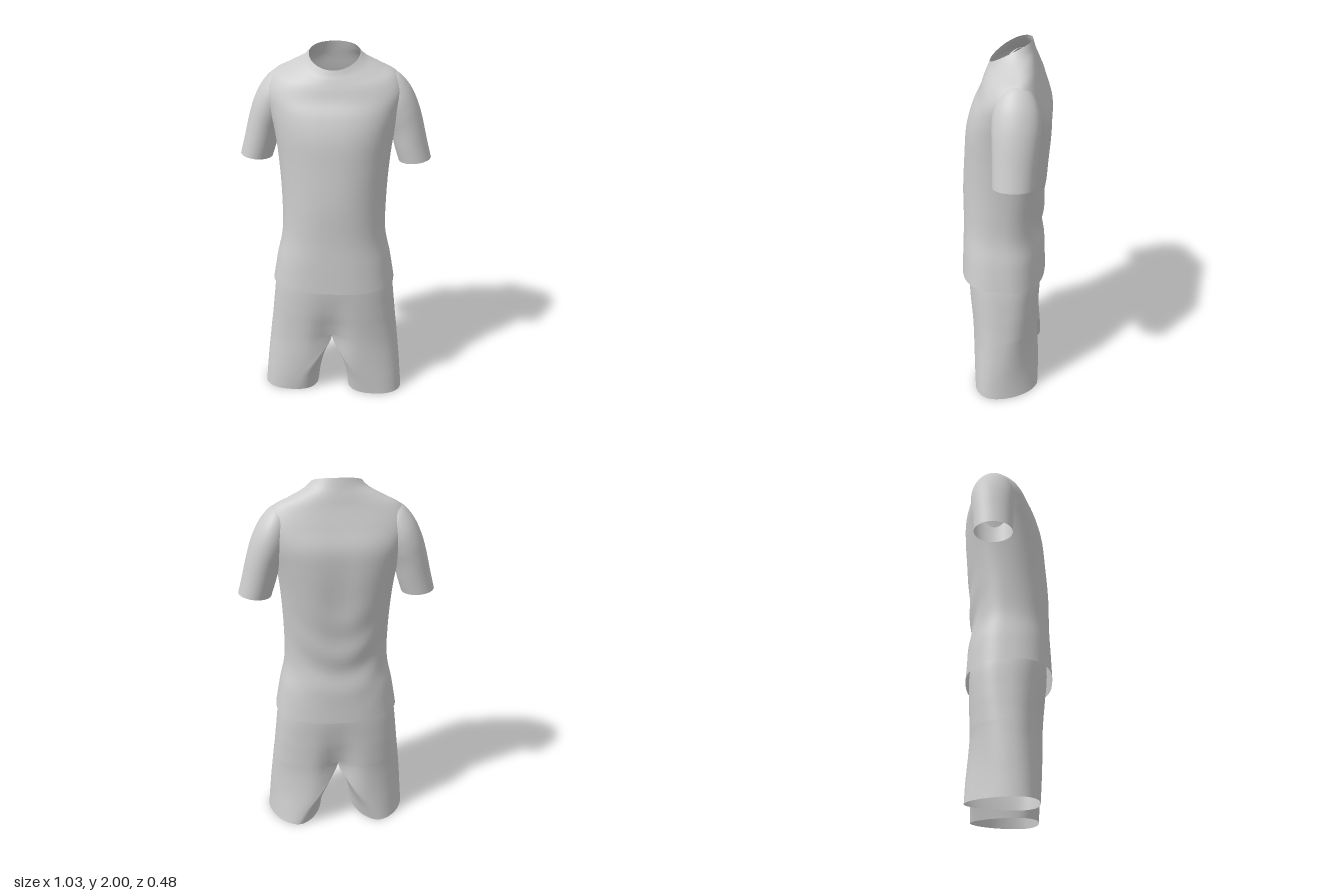
import * as THREE from 'three';
import { mergeGeometries, mergeVertices } from 'three/addons/utils/BufferGeometryUtils.js';

const SIDES = 64;
const STEPS = 7;
const spow = (v, e) => Math.sign(v) * Math.pow(Math.abs(v), e);
const bell = (v, width) => Math.exp(-((v / width) ** 2));

// Smoothly interpolate a short list of cross-sections, bottom to top
function refine(keys) {
  const out = [];
  const last = keys.length - 1;
  for (let k = 0; k < last; k++) {
    const [a, b, c, d] = [keys[Math.max(k - 1, 0)], keys[k], keys[k + 1], keys[Math.min(k + 2, last)]];
    for (let j = 0; j < STEPS; j++) {
      const t = j / STEPS;
      out.push(b.map((_, i) => b[i] + 0.5 * t * (c[i] - a[i]
        + t * (2 * a[i] - 5 * b[i] + 4 * c[i] - d[i]
        + t * (3 * (b[i] - c[i]) + d[i] - a[i])))));
    }
  }
  out.push(keys[last]);
  return out;
}

// Open tube through the cross-sections; side = -1 mirrors it in x
function loft(keys, point, side = 1) {
  const rows = refine(keys);
  const pos = [];
  const index = [];
  rows.forEach((row, r) => {
    for (let i = 0; i < SIDES; i++) {
      const t = (side * i * Math.PI * 2) / SIDES;
      const [x, y, z] = point(row, Math.cos(t), Math.sin(t));
      pos.push(x * side, y, z);
      if (r === rows.length - 1) continue;
      const a = r * SIDES + i;
      const b = r * SIDES + ((i + 1) % SIDES);
      index.push(a, a + SIDES, b, b, a + SIDES, b + SIDES);
    }
  });
  const geo = new THREE.BufferGeometry();
  geo.setAttribute('position', new THREE.Float32BufferAttribute(pos, 3));
  geo.setIndex(index);
  geo.computeVertexNormals();
  return geo;
}

// Shirt body: yFront, yBack, ySide, halfWidth, zFront, zBack, zSide, front and back squareness
const BODY = [
  [0.70, 0.68, 0.705, 0.34, 0.245, -0.222, 0, 2.7, 2.4],
  [0.85, 0.85, 0.85, 0.315, 0.24, -0.212, 0, 2.6, 2.35],
  [1.0, 1.0, 1.0, 0.285, 0.235, -0.2, 0, 2.4, 2.15],
  [1.2, 1.2, 1.2, 0.285, 0.235, -0.22, -0.01, 2.2, 2.15],
  [1.4, 1.4, 1.4, 0.298, 0.222, -0.237, -0.02, 2.25, 2.4],
  [1.55, 1.55, 1.55, 0.318, 0.208, -0.243, -0.04, 2.4, 2.6],
  [1.66, 1.66, 1.67, 0.345, 0.178, -0.237, -0.06, 2.5, 2.7],
  [1.74, 1.76, 1.775, 0.362, 0.14, -0.203, -0.07, 2.5, 2.7],
  [1.80, 1.85, 1.853, 0.325, 0.12, -0.172, -0.07, 2.3, 2.4],
  [1.84, 1.91, 1.896, 0.245, 0.105, -0.156, -0.06, 2.1, 2.1],
  [1.865, 1.955, 1.93, 0.17, 0.094, -0.143, -0.035, 2, 2],
  [1.89, 2.0, 1.96, 0.132, 0.085, -0.13, -0.025, 2, 2],
];
function bodyPoint([yF, yB, yS, hx, zF, zB, zS, pF, pB], c, s) {
  const p = s > 0 ? pF : pB;
  const x = hx * spow(c, 2 / p);
  const y = yS + ((yF - yB) / 2) * s + ((yF + yB) / 2 - yS) * s * s;
  let z = zS + (s > 0 ? zF - zS : zS - zB) * spow(s, 2 / p);
  if (s < 0) {
    // spine hollow and sagging cloth folds on the back
    z += 0.016 * bell(x, 0.09) * bell(y - 1.4, 0.25);
    z += 0.006 * s * s * bell(y - 1.08, 0.2) * Math.sin(28 * (y - 3 * x * x));
  }
  return [x, y, z];
}

// Sleeve: outer x, y, inner x, y, zFront, zBack
const SLEEVE = [
  [0.517, 1.405, 0.345, 1.385, 0.04, -0.168],
  [0.492, 1.5, 0.322, 1.455, 0.042, -0.175],
  [0.462, 1.62, 0.3, 1.53, 0.044, -0.185],
  [0.432, 1.71, 0.275, 1.59, 0.048, -0.192],
  [0.39, 1.79, 0.255, 1.64, 0.046, -0.188],
  [0.335, 1.85, 0.24, 1.69, 0.03, -0.168],
  [0.285, 1.868, 0.22, 1.74, 0, -0.14],
];
const sleevePoint = ([ox, oy, ix, iy, zF, zB], c, s) => [
  (ox + ix) / 2 + ((ox - ix) / 2) * c,
  (oy + iy) / 2 + ((oy - iy) / 2) * c,
  (zF + zB) / 2 + ((zF - zB) / 2) * s,
];

// Shorts: y, outer x, middle x, inner x, zFront, zBack, zSide, back squareness, centre crease
const LEG = [
  [0, 0.405, 0.235, 0.09, 0.165, -0.2, 0.04, 1.75, 0],
  [0.1, 0.396, 0.18, 0.077, 0.172, -0.2, 0.035, 1.85, 0.06],
  [0.2, 0.387, 0.105, 0.053, 0.18, -0.2, 0.025, 2, 0.18],
  [0.3, 0.376, 0.03, 0.02, 0.189, -0.2, 0.015, 2.2, 0.28],
  [0.35, 0.3705, 0.005, 0.004, 0.193, -0.2, 0.012, 2.32, 0.3],
  [0.38, 0.367, 0, 0, 0.195, -0.2, 0.01, 2.4, 0.28],
];
const HIPS = [
  [0.38, 0.367, 0, -0.367, 0.195, -0.2, 0.01, 2.4, 0.28],
  [0.45, 0.358, 0, -0.358, 0.2, -0.2, 0.006, 2.5, 0.2],
  [0.55, 0.347, 0, -0.347, 0.208, -0.2, 0.003, 2.65, 0.09],
  [0.7, 0.328, 0, -0.328, 0.215, -0.2, 0, 2.7, 0],
  [0.85, 0.288, 0, -0.288, 0.212, -0.183, 0, 2.4, 0],
  [1.0, 0.255, 0, -0.255, 0.2, -0.168, 0, 2.2, 0],
];
function shortsPoint([y, ox, mx, ix, zF, zB, zS, pB, crease], c, s) {
  const e = 2 / (s > 0 ? 2.4 : pB);
  const x = mx + (c > 0 ? ox - mx : mx - ix) * spow(c, e);
  const rz = (s > 0 ? zF - zS : zS - zB) * (1 - crease * bell(x, 0.085));
  return [x, y, zS + rz * spow(s, e)];
}

export function createModel() {
  const cloth = new THREE.MeshStandardMaterial({ color: 0xcccccc, side: THREE.DoubleSide });
  cloth.name = 'grey cloth';
  const model = new THREE.Group();
  model.name = 'sportsOutfit';
  const add = (name, geo, parent) => {
    const mesh = new THREE.Mesh(geo, cloth);
    mesh.name = name;
    parent.add(mesh);
  };

  const shirt = new THREE.Group();
  shirt.name = 'shirt';
  add('shirtBody', loft(BODY, bodyPoint), shirt);
  add('leftSleeve', loft(SLEEVE, sleevePoint, 1), shirt);
  add('rightSleeve', loft(SLEEVE, sleevePoint, -1), shirt);
  model.add(shirt);

  // Hips and both legs welded into one smooth garment
  const pieces = [loft(HIPS, shortsPoint), loft(LEG, shortsPoint, 1), loft(LEG, shortsPoint, -1)];
  pieces.forEach((g) => g.deleteAttribute('normal'));
  const shorts = mergeVertices(mergeGeometries(pieces), 1e-4);
  shorts.computeVertexNormals();
  add('shorts', shorts, model);

  return model;
}
